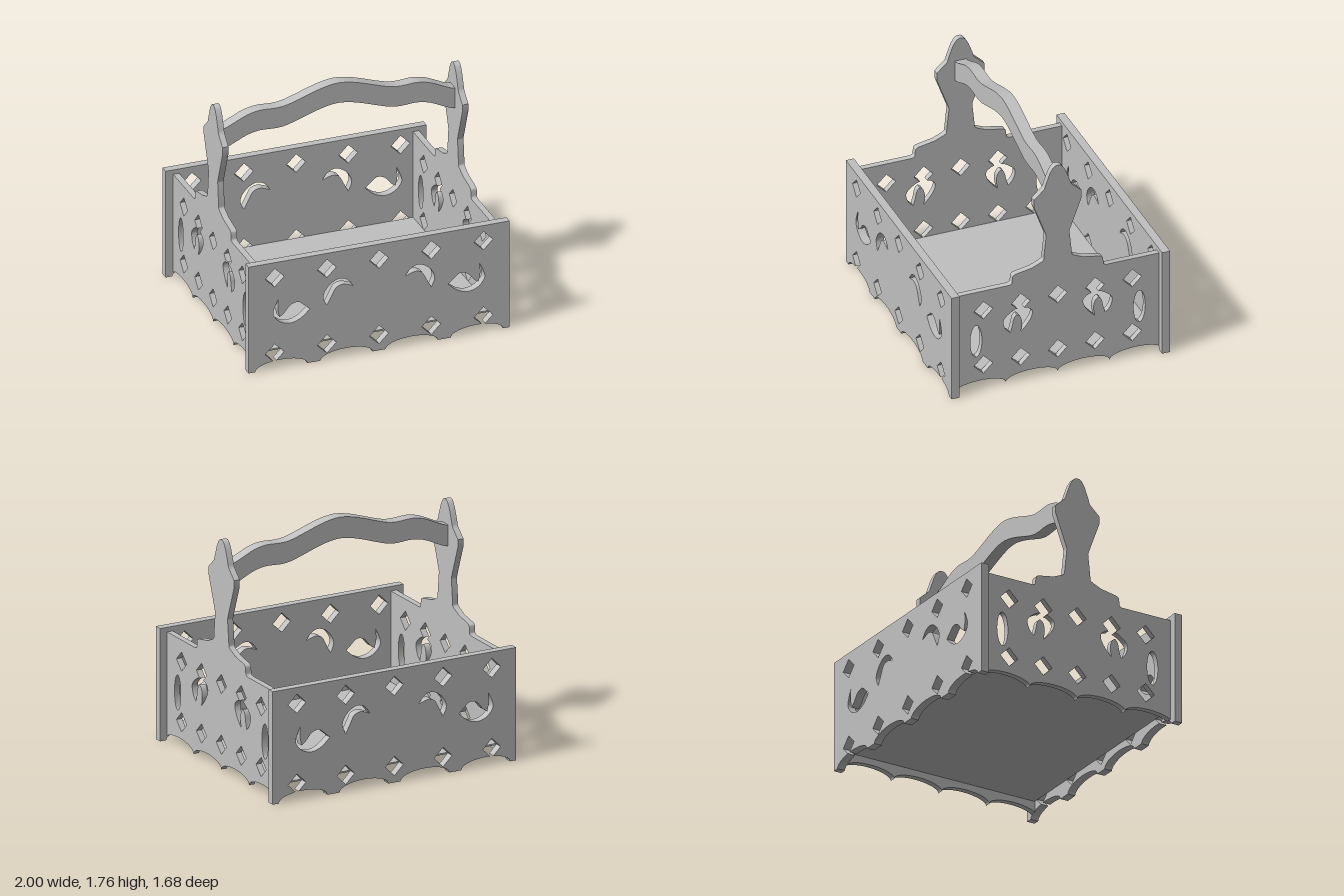
import * as THREE from 'three';
import { toCreasedNormals } from 'three/addons/utils/BufferGeometryUtils.js';

const wood = new THREE.MeshStandardMaterial({ color: 0xc0c0c0 });
wood.name = 'pale grey wood';

const V = (x, y) => new THREE.Vector2(x, y);
const mirror = (pts) => pts.map((p) => V(-p.x, p.y)).reverse();

// Smooth run through a few [x, y] points, sharp only at its two ends
function curve(pts, steps = 4) {
  return new THREE.SplineCurve(pts.map((p) => V(...p))).getPoints((pts.length - 1) * steps);
}

// Closed outline made of smooth runs that meet in sharp tips
const outline = (...runs) => runs.flatMap((r) => curve(r).slice(0, -1));

const diamond = (x, y, r = 0.073) => [V(x - r, y), V(x, y + r), V(x + r, y), V(x, y - r)];

// Points along a half-ellipse scallop, left to right
function scallop(cx, rx, base, h, n = 20) {
  return Array.from({ length: n + 1 }, (_, i) => {
    const a = Math.PI * (1 - i / n);
    return V(cx + rx * Math.cos(a), base + h * Math.sin(a));
  });
}

// Flat panel in the XY plane, centred on z = 0
function panel(points, holes, depth) {
  const shape = new THREE.Shape(points);
  shape.holes = holes.map((h) => new THREE.Path(h));
  const g = new THREE.ExtrudeGeometry(shape, { depth, bevelEnabled: false });
  g.translate(0, 0, -depth / 2);
  return toCreasedNormals(g, 0.5);
}

function longPanel() {
  // Scalloped lower edge; the outermost scallops open into a diamond
  const edge = [V(-1, 0)];
  for (const cx of [-0.75, -0.25, 0.25, 0.75]) {
    const arc = scallop(cx, 0.2, 0, 0.066);
    if (Math.abs(cx) < 0.5) { edge.push(...arc); continue; }
    const d = Math.sign(cx) * 0.8;
    edge.push(...arc.filter((p) => p.x < d - 0.013));
    edge.push(V(d - 0.013, 0.065), V(d - 0.073, 0.125), V(d, 0.198), V(d + 0.073, 0.125), V(d + 0.013, 0.065));
    edge.push(...arc.filter((p) => p.x > d + 0.013));
  }
  edge.push(V(1, 0), V(1, 0.85), V(-1, 0.85));

  const lowLeaf = outline(
    [[0.53, 0.43], [0.6, 0.37], [0.68, 0.345], [0.76, 0.37], [0.81, 0.435], [0.795, 0.5], [0.77, 0.553]],
    [[0.77, 0.553], [0.776, 0.48], [0.762, 0.407]],
    [[0.762, 0.407], [0.725, 0.435], [0.68, 0.487], [0.62, 0.503], [0.57, 0.465], [0.53, 0.43]]);
  const highLeaf = outline(
    [[0.2, 0.556], [0.245, 0.612], [0.31, 0.63], [0.385, 0.588], [0.427, 0.51], [0.4, 0.433]],
    [[0.4, 0.433], [0.365, 0.5], [0.33, 0.562], [0.275, 0.58], [0.2, 0.556]]);
  const holes = [lowLeaf, highLeaf, mirror(lowLeaf), mirror(highLeaf)];
  for (const x of [-0.8, -0.4, 0, 0.4, 0.8]) {
    holes.push(diamond(x, 0.728));
    if (Math.abs(x) < 0.5) holes.push(diamond(x, 0.125));
  }
  return panel(edge, holes, 0.062);
}

function endPanel() {
  // Half of the upper outline, from the corner up to the finial
  const half = [
    V(0.78, 0.815),
    ...curve([[0.375, 0.815], [0.355, 0.825], [0.35, 0.86], [0.345, 0.885], [0.325, 0.897]]),
    V(0.2, 0.92), ...curve([[0.13, 0.95], [0.11, 0.965], [0.108, 0.985]]),
    ...curve([[0.091, 1.15], [0.09, 1.165], [0.095, 1.185]]),
    V(0.183, 1.425), V(0.184, 1.485),
    ...curve([[0.125, 1.54], [0.105, 1.56], [0.093, 1.595]]),
    ...curve([[0.062, 1.68], [0.04, 1.718], [0.02, 1.736], [0, 1.74]]),
  ];
  const edge = [-0.6, -0.2, 0.2, 0.6]
    .flatMap((cx) => scallop(cx, 0.2, 0.008, 0.06).slice(0, -1))
    .filter((p) => Math.abs(p.x) < 0.78);
  const points = [V(-0.78, 0.035), ...edge, V(0.78, 0.035), ...half, ...mirror(half).slice(1)];

  // Leaf cut-out joined to the diamond above it
  const leaf = outline(
    [[0.325, 0.603], [0.36, 0.585], [0.405, 0.548], [0.42, 0.51], [0.4, 0.45], [0.365, 0.415]],
    [[0.365, 0.415], [0.35, 0.47], [0.338, 0.525], [0.315, 0.553], [0.287, 0.53], [0.275, 0.475], [0.285, 0.405]],
    [[0.285, 0.405], [0.235, 0.46], [0.2, 0.52], [0.2, 0.568], [0.248, 0.603]]);
  leaf.push(V(0.26, 0.603), V(0.213, 0.65), V(0.286, 0.725), V(0.359, 0.65), V(0.312, 0.603));
  const oval = new THREE.EllipseCurve(0.629, 0.403, 0.045, 0.132).getPoints(32).slice(0, -1);
  const holes = [leaf, mirror(leaf), oval, mirror(oval), diamond(0, 0.652)];
  for (const x of [-0.573, 0.573]) holes.push(diamond(x, 0.652));
  for (const x of [-0.573, -0.286, 0, 0.286, 0.573]) holes.push(diamond(x, 0.195));
  return panel(points, holes, 0.046).rotateY(Math.PI / 2);
}

function handleBar() {
  const h = [[0.1, 1.75], [0.2, 1.722], [0.3, 1.688], [0.4, 1.658], [0.48, 1.65], [0.6, 1.655],
    [0.7, 1.635], [0.8, 1.59], [0.86, 1.564], [0.9, 1.555]];
  const top = curve([...h.map(([x, y]) => [-x, y]).reverse(), [0, 1.763], ...h]);
  const bottom = top.map((p) => V(p.x, p.y - 0.16)).reverse();
  return panel([...top, ...bottom], [], 0.09);
}

export function createModel() {
  const group = new THREE.Group();
  const add = (name, geometry, x = 0, y = 0, z = 0) => {
    const mesh = new THREE.Mesh(geometry, wood);
    mesh.name = name;
    mesh.position.set(x, y, z);
    group.add(mesh);
  };

  // Four pierced walls
  const long = longPanel();
  add('frontPanel', long, 0, 0, 0.811);
  add('backPanel', long, 0, 0, -0.811);
  const end = endPanel();
  add('leftEndPanel', end, 0.919);
  add('rightEndPanel', end, -0.919);

  // Floor and carrying handle
  add('floor', new THREE.BoxGeometry(1.8, 0.012, 1.56), 0, 0.124, 0);
  add('handle', handleBar());
  return group;
}
